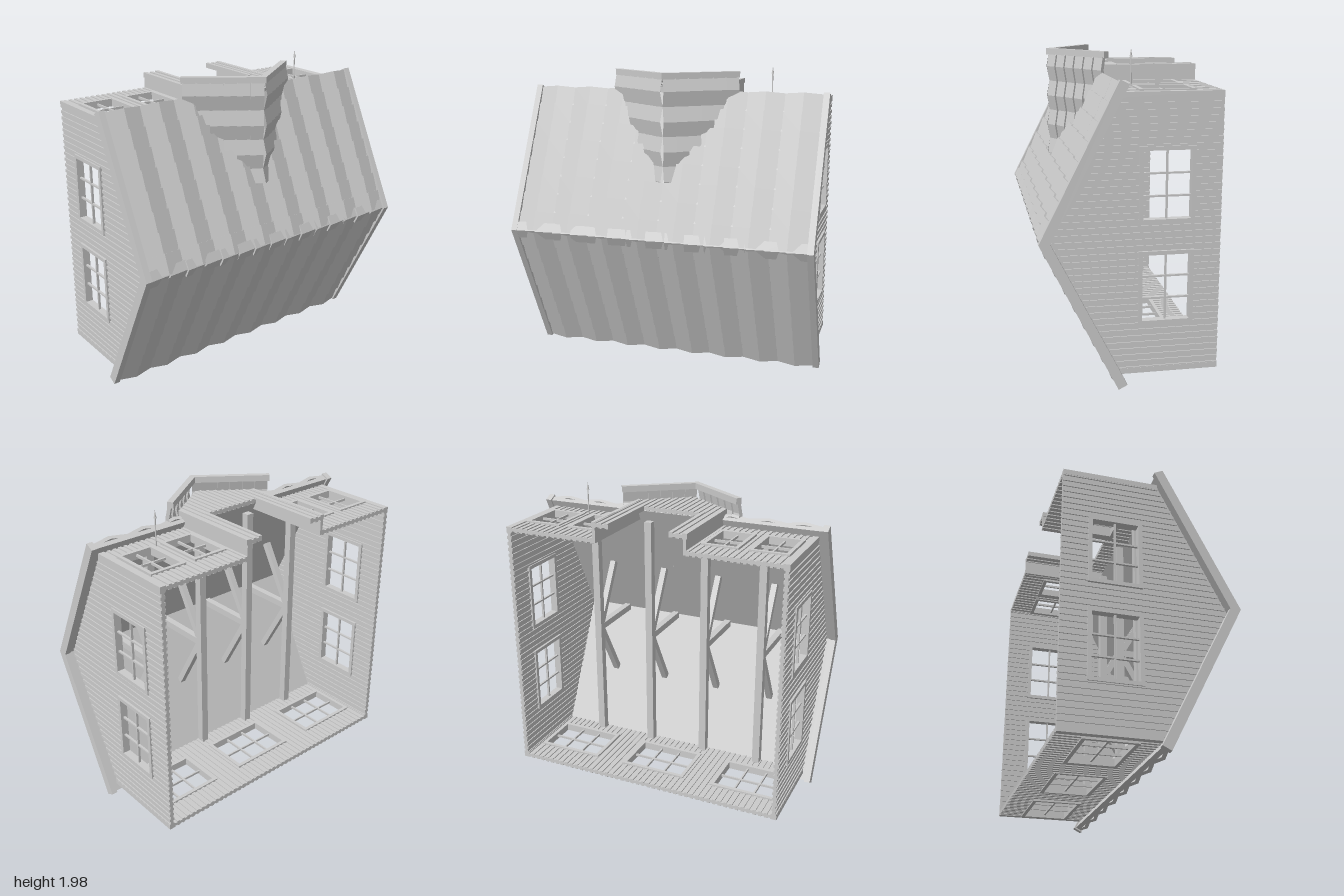
import * as THREE from 'three';

const MID = 0.924;            // y of the main ridge
const mat = new THREE.MeshStandardMaterial({ color: 0xcccccc, flatShading: true, side: THREE.DoubleSide });
const V = (x, y, z) => new THREE.Vector3(x, y, z);
const SIDE = [V(0, 1, 0), V(0, 0, 1), V(1, 0, 0)];    // local x,y,z -> y,z,x
const FACE = [V(1, 0, 0), V(0, 0, 1), V(0, -1, 0)];   // local x,y,z -> x,z,-y

function mesh(parent, name, geo, x = 0, y = 0, z = 0) {
  const m = new THREE.Mesh(geo, mat);
  m.name = name;
  m.position.set(x, y, z);
  parent.add(m);
  return m;
}
const box = (p, name, w, h, d, x, y, z) => mesh(p, name, new THREE.BoxGeometry(w, h, d), x, y, z);

function frame(parent, name, basis, origin) {
  const g = new THREE.Group();
  g.name = name;
  g.quaternion.setFromRotationMatrix(new THREE.Matrix4().makeBasis(...basis));
  g.position.copy(origin);
  parent.add(g);
  return g;
}

function beam(parent, name, a, b, w) {
  const m = box(parent, name, w, w, a.distanceTo(b), 0, 0, 0);
  m.position.copy(a).lerp(b, 0.5);
  m.lookAt(b);
  return m;
}

const toShape = (pts) => new THREE.Shape(pts.map((p) => new THREE.Vector2(...p)));

function slab(parent, name, shape, t) {
  const geo = new THREE.ExtrudeGeometry(shape, { depth: t, bevelEnabled: false });
  return mesh(parent, name, geo.translate(0, 0, -t / 2));
}

// folded roof section with square-cut ends
function chevron(s, top, k, t) {
  const q = Math.hypot(k, 1), zs = top - k * s;
  const ia = s - (k / q) * t, ib = zs - t / q;
  return toShape([[-s, zs], [-ia, ib], [0, top - t * q], [ia, ib], [s, zs], [0, top]]);
}

// window surround and glazing bars; w = [a0, a1, b0, b1, columns, rows]
function windowFrame(parent, [a0, a1, b0, b1, cols, rows], t) {
  const g = new THREE.Group(), f = 0.024, d = t + 0.03;
  g.name = 'window';
  parent.add(g);
  const ca = (a0 + a1) / 2, cb = (b0 + b1) / 2, w = a1 - a0, h = b1 - b0;
  for (const s of [-1, 1]) {
    box(g, 'frameStile', f, h + 2 * f, d, ca + s * (w + f) / 2, cb, 0);
    box(g, 'frameRail', w, f, d, ca, cb + s * (h + f) / 2, 0);
  }
  for (let i = 1; i < cols; i++) box(g, 'glazingBar', 0.011, h, 0.015, a0 + w * i / cols, cb, 0);
  for (let i = 1; i < rows; i++) box(g, 'glazingBar', w, 0.011, 0.015, ca, b0 + h * i / rows, 0);
}

// boarded wall: slab with openings plus battens that stop at the openings
function wall(parent, name, basis, origin, outline, windows, topAt, opening) {
  const g = frame(parent, name, basis, origin), t = 0.02, base = -0.54;
  const shape = toShape(outline);
  for (const [a0, a1, b0, b1] of windows) {
    shape.holes.push(new THREE.Path([[a0, b0], [a0, b1], [a1, b1], [a1, b0]].map((p) => new THREE.Vector2(...p))));
  }
  slab(g, 'boards', shape, t);
  const xs = outline.map((p) => p[0]), lo = Math.min(...xs), hi = Math.max(...xs);
  const n = Math.round((hi - lo) / 0.04), gaps = opening ? [...windows, opening] : windows;
  for (let i = 0; i < n; i++) {
    const a = lo + (i + 0.5) * (hi - lo) / n;
    let start = base;
    const strip = (end) => {
      if (end - start > 0.005) box(g, 'batten', 0.02, end - start, t + 0.014, a, (start + end) / 2, 0);
    };
    for (const [a0, a1, b0, b1] of gaps.filter((w) => a > w[0] - 0.02 && a < w[1] + 0.02)) {
      strip(b0);
      start = b1;
    }
    strip(topAt(a));
  }
  windows.forEach((w) => windowFrame(g, w, t));
}

// overlapping courses of zigzag shingles; at(u, v, h) places a point, u runs along the course
function shingles(parent, name, at, rows, len, u0, u1, step, amp) {
  const pos = [];
  const quad = (a, b, c, d) => [a, b, c, a, c, d].forEach((p) => pos.push(p.x, p.y, p.z));
  for (let r = 0; r < rows; r++) {
    const va = len * r / rows, vb = len * (r + 1) / rows, from = u0((va + vb) / 2);
    for (let i = 0; u1 - i * step > from + 0.001; i++) {
      const ua = u1 - i * step, ub = Math.max(ua - step, from);
      const ha = i % 2 ? amp : 0, f = (ua - ub) / step;
      const hb = ha + (amp - 2 * ha) * f;
      quad(at(ua, va, ha), at(ub, va, hb), at(ub, vb, hb + 0.012), at(ua, vb, ha + 0.012));
      quad(at(ua, vb, ha + 0.012), at(ub, vb, hb + 0.012), at(ub, vb, hb - 0.012), at(ua, vb, ha - 0.012));
    }
  }
  const geo = new THREE.BufferGeometry();
  geo.setAttribute('position', new THREE.Float32BufferAttribute(pos, 3));
  geo.computeVertexNormals();
  mesh(parent, name, geo);
}

export function createModel() {
  const root = new THREE.Group();
  root.name = 'house';
  const half = 0.835, K = 0.505, Q = Math.hypot(K, 1);

  // gable walls
  const gable = [[MID - half, -0.54], [MID + half, -0.54], [MID + half, 0.06], [MID, 0.48], [MID - half, 0.06]];
  const sideWindows = [[0.41, 0.815, -0.355, -0.07, 3, 2], [1.03, 1.435, -0.355, -0.07, 3, 2]];
  for (const s of [-1, 1]) {
    wall(root, 'gableWall', SIDE, V(s * 0.923, 0, 0), gable, sideWindows, (a) => 0.475 - K * Math.abs(a - MID));
  }

  // long wall with three wide windows
  const rect = (a, b) => [[a, -0.54], [b, -0.54], [b, 0.06], [a, 0.06]];
  const wide = [-0.655, 0, 0.655].map((c) => [c - 0.205, c + 0.205, -0.365, -0.08, 3, 2]);
  wall(root, 'rearWall', FACE, V(0, 0.095, 0), rect(-0.93, 0.93), wide, () => 0.06);

  // entrance wall, one panel on each side of the bay
  for (const s of [-1, 1]) {
    const span = (a, b) => [Math.min(s * a, s * b), Math.max(s * a, s * b)];
    const wins = [[0.365, 0.555], [0.665, 0.865]].map(([a, b]) => [...span(a, b), -0.365, -0.08, 2, 2]);
    wall(root, 'entranceWall', FACE, V(0, 1.753, 0), rect(...span(0.3, 0.93)), wins, () => 0.06);
    // bay return, jamb and trims
    box(root, 'bayReturn', 0.02, 0.12, 0.64, s * 0.302, 1.8, -0.22);
    box(root, 'bayCornerTrim', 0.024, 0.034, 0.64, s * 0.305, 1.855, -0.22);
    box(root, 'bayJambTrim', 0.024, 0.034, 0.49, s * 0.213, 1.855, -0.295);
    for (const y of [0.095, 1.753]) box(root, 'cornerPost', 0.03, 0.034, 0.6, s * 0.926, y, -0.24);
  }
  const bay = [[-0.315, -0.54], [-0.205, -0.54], [-0.205, -0.05], [0.205, -0.05], [0.205, -0.54],
    [0.315, -0.54], [0.315, 0.1], [0, 0.33], [-0.315, 0.1]];
  wall(root, 'entranceBay', FACE, V(0, 1.853, 0), bay, [], (a) => 0.32 - 0.726 * Math.abs(a),
    [-0.205, 0.205, -0.54, -0.05]);

  // main roof: deck, verge boards, shingles
  const roof = frame(root, 'mainRoof', SIDE, V(0, MID, 0));
  slab(roof, 'roofDeck', chevron(0.9, 0.52, K, 0.03), 1.94);
  for (const s of [-1, 1]) {
    slab(roof, 'vergeBoard', chevron(0.918, 0.543, K, 0.06), 0.04).position.z = s * 0.98;
    const at = (u, v, h) => V(u, MID + s * (v + h * K) / Q, 0.518 + (h - v * K) / Q);
    shingles(root, 'roofShingles', at, 8, 1.008, () => -0.96, 0.96, 0.12, 0.024);
  }

  // overlapping ridge caps
  for (let i = 0; i < 15; i++) {
    const cap = frame(root, 'ridgeCap', SIDE, V(-0.896 + i * 0.128, MID, 0));
    slab(cap, 'capTile', chevron(0.055, 0.535, K, 0.014), 0.135);
    cap.children[0].geometry.translate(0, -0.5, 0);
    cap.children[0].position.y = 0.5;
    cap.children[0].rotation.x = 0.1;
  }

  // dormer over the entrance, its courses stopping at the main roof
  const k = 0.726, q = Math.hypot(k, 1), top = 0.36;
  const dormer = frame(root, 'dormerRoof', FACE, V(0, 1.94, 0));
  slab(dormer, 'dormerVerge', chevron(0.425, 0.378, k, 0.04), 0.04);
  for (const s of [-1, 1]) {
    const at = (u, v, h) => V(s * (v + h * k) / q, u, top + (h - v * k) / q);
    const start = (v) => MID + (0.51 - (top - v * k / q)) / K;
    shingles(root, 'dormerShingles', at, 6, 0.505, start, 1.94, 0.095, 0.02);
  }

  // roof trusses
  for (const x of [-0.61, -0.205, 0.205, 0.61]) {
    const truss = new THREE.Group();
    truss.name = 'truss';
    root.add(truss);
    box(truss, 'tieBeam', 0.05, 1.64, 0.05, x, MID, 0.03);
    box(truss, 'kingPost', 0.045, 0.045, 0.43, x, MID, 0.255);
    for (const s of [-1, 1]) {
      beam(truss, 'strut', V(x, MID + s * 0.03, 0.05), V(x, MID + s * 0.42, 0.27), 0.04);
    }
  }

  // slender pole on the entrance wall
  mesh(root, 'pole', new THREE.CylinderGeometry(0.004, 0.004, 0.2, 6), 0.61, 1.86, -0.06);
  mesh(root, 'poleTip', new THREE.ConeGeometry(0.009, 0.05, 6), 0.61, 1.965, -0.06);
  return root;
}
